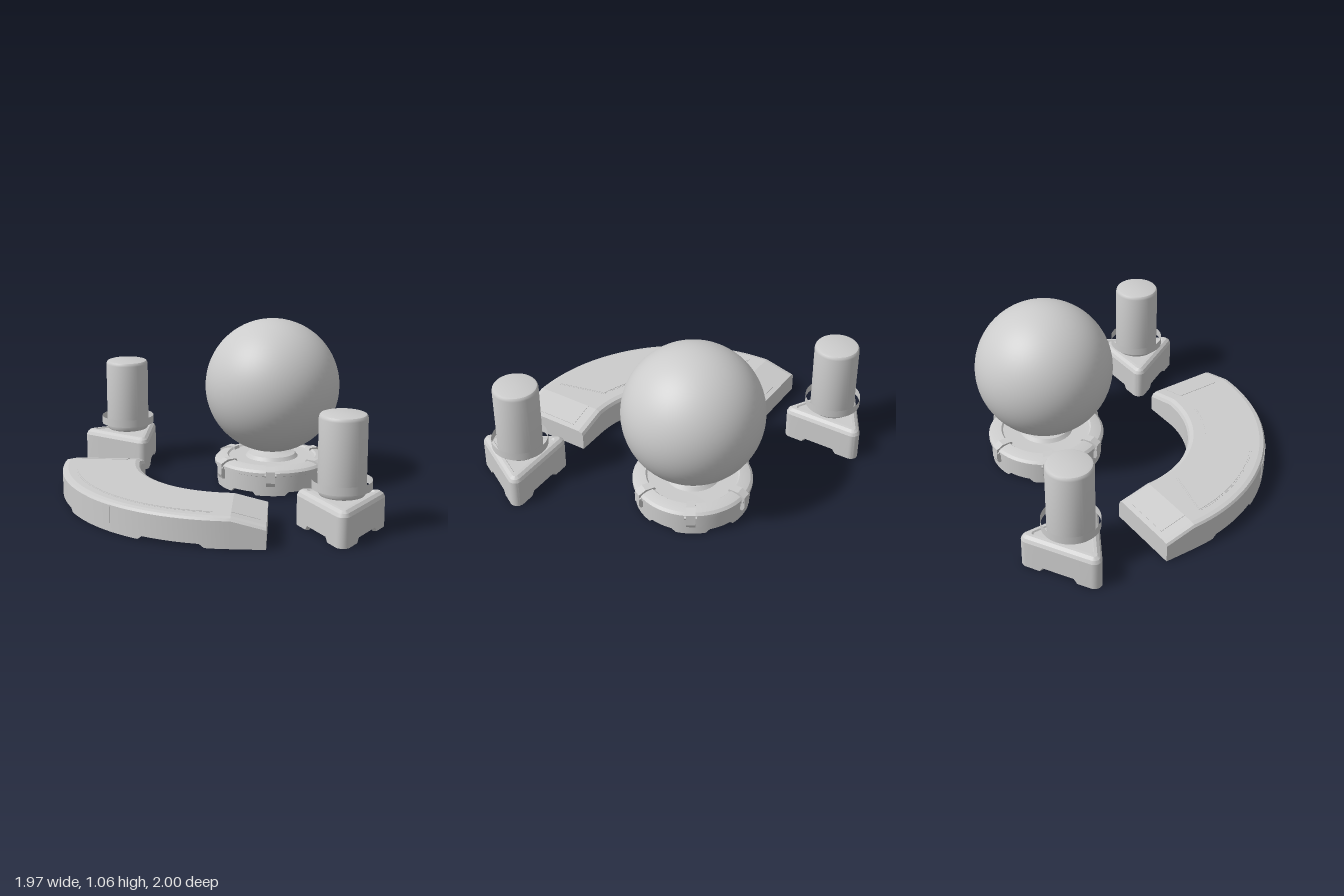
import * as THREE from 'three';
import { toCreasedNormals } from 'three/addons/utils/BufferGeometryUtils.js';

const mat = new THREE.MeshStandardMaterial({ color: 0xcccccc, side: THREE.DoubleSide });

function mesh(name, geo, parent, x = 0, y = 0, z = 0) {
  const m = new THREE.Mesh(geo, mat);
  m.name = name;
  m.position.set(x, y, z);
  parent.add(m);
  return m;
}

// Skin a list of closed rings; optional fan caps on the first and last ring
function loft(rings, capStart, capEnd, crease = 0.4) {
  const n = rings[0].length, pos = rings.flat(2), idx = [];
  for (let i = 0; i < rings.length - 1; i++)
    for (let j = 0; j < n; j++) {
      const k = (j + 1) % n, a = i * n, b = a + n;
      idx.push(a + j, a + k, b + k, a + j, b + k, b + j);
    }
  const cap = (i, flip) => {
    const c = pos.length / 3;
    pos.push(...[0, 1, 2].map(d => rings[i].reduce((s, p) => s + p[d], 0) / n));
    for (let j = 0; j < n; j++) {
      const p = i * n + j, q = i * n + (j + 1) % n;
      flip ? idx.push(q, p, c) : idx.push(p, q, c);
    }
  };
  if (capStart) cap(0, true);
  if (capEnd) cap(rings.length - 1, false);
  const g = new THREE.BufferGeometry();
  g.setAttribute('position', new THREE.Float32BufferAttribute(pos, 3));
  g.setIndex(idx);
  return toCreasedNormals(g, crease);
}

const lathe = (pts, seg = 48) =>
  toCreasedNormals(new THREE.LatheGeometry(pts.map(p => new THREE.Vector2(...p)), seg), 0.5);

// ---- Curved desk: quarter ring with short straight ends that slope down ----
const CX = 0.12, CZ = -0.115, R_IN = 0.62, END = 0.197, H = 0.18, DROP = 0.05;

// Point at angle t (0 = back end, PI/2 = right end), radius r, run-out s along the straight
const deskPoint = (t, r, y, s = 0) => [
  CX - Math.cos(t) * r + (t > 1 ? s : 0), y, CZ + Math.sin(t) * r - (t > 1 ? 0 : s)];

function deskSection(t, s, solid) {
  const h = H - DROP * s / END, deg = t * 180 / Math.PI, off = Math.abs(deg - 45);
  const b = off > 17 && off < 37 ? 0.022 : 0, c = solid ? 0 : h - 0.025; // foot notch, ceiling
  return [[0, 0], [0, h - 0.03], [0.01, h - 0.01], [0.035, h], [0.45, h], [0.475, h - 0.006],
    [0.485, h - 0.02], [0.485, b], [0.473, b], [0.473, c], [0.012, c], [0.012, 0]]
    .map(([u, y]) => deskPoint(t, R_IN + u, y, s));
}

function makeDesk(root) {
  const desk = new THREE.Group();
  desk.name = 'curvedDesk';
  root.add(desk);
  const Q = Math.PI / 2, N = 60, rings = [];
  rings.push(deskSection(0, END, true), deskSection(0, END - 0.012, true), deskSection(0, END - 0.012));
  for (let i = 0; i <= N; i++) rings.push(deskSection(Q * i / N, 0));
  rings.push(deskSection(Q, END - 0.012), deskSection(Q, END - 0.012, true), deskSection(Q, END, true));
  mesh('deskShell', loft(rings, true, true, 0.2), desk);

  // Inset work surface with slanted ends, and the same outline on the underside
  const worktop = (inset, y0, y1) => {
    const rows = [];
    for (let i = 0; i <= 40; i++) {
      const f = i / 40, r0 = 0.72 + inset, r1 = 1.025 - inset;
      const t0 = (0.232 + inset) + (Q - 2 * (0.232 + inset)) * f;
      const t1 = (0.093 + inset) + (Q - 2 * (0.093 + inset)) * f;
      rows.push([[t0, r0, y0], [t0, r0, y1], [t1, r1, y1], [t1, r1, y0]].map(p => deskPoint(...p)));
    }
    return loft(rows, true, true);
  };
  mesh('worktopTrim', worktop(0, 0.17, 0.1815), desk);
  mesh('worktop', worktop(0.009, 0.175, 0.184), desk);
  mesh('undersidePanel', worktop(0.01, 0.148, 0.158), desk);

  // Hatch on the outer wall
  const hatch = [];
  for (let i = 0; i <= 6; i++) {
    const t = Math.PI / 4 + (i / 6 - 0.5) * 0.2;
    hatch.push([[1.09, 0.05], [1.09, 0.165], [1.108, 0.16], [1.108, 0.05]].map(([r, y]) => deskPoint(t, r, y)));
  }
  mesh('wallHatch', loft(hatch, true, true), desk);

  // Thin plates lying on the two sloped ends
  const tilt = Math.atan(DROP / END), y = H - DROP * 0.42;
  const back = mesh('endPlateBack', new THREE.BoxGeometry(0.29, 0.005, 0.17), desk, CX - 0.86, y, CZ - END * 0.42);
  back.rotation.x = -tilt;
  const right = mesh('endPlateRight', new THREE.BoxGeometry(0.17, 0.005, 0.29), desk, CX + END * 0.42, y, CZ + 0.86);
  right.rotation.z = -tilt;
}

// ---- Round pedestal with clamps, carrying the large sphere ----
function makeSphereStand(root) {
  const stand = new THREE.Group();
  stand.name = 'sphereStand';
  stand.position.set(0.32, 0, -0.32);
  root.add(stand);
  const S = 96;
  const ring = (r, y, notched) => Array.from({ length: S }, (_, j) => {
    const a = j / S * Math.PI * 2, deg = (j * 360 / S) % 60;
    return [Math.sin(a) * r, notched && Math.abs(deg - 30) < 14 ? 0.022 : y, Math.cos(a) * r];
  });
  const profile = [[0.325, 0.12], [0.335, 0, 1], [0.35, 0, 1], [0.352, 0.125], [0.365, 0.13], [0.365, 0.15],
    [0.35, 0.165], [0.32, 0.175], [0.285, 0.18], [0.275, 0.17], [0.2, 0.168], [0.14, 0.168]];
  mesh('pedestal', loft([[0.001, 0.12], ...profile].map(p => ring(...p)), false, true), stand);
  mesh('collar', lathe([[0.17, 0.165], [0.15, 0.19], [0.1, 0.2], [0.07, 0.21]]), stand);
  for (const r of [0.09, 0.18, 0.26])
    mesh('undersideRing', lathe([[r - 0.02, 0.125], [r - 0.02, 0.11], [r, 0.11], [r, 0.125]]), stand);

  // Bent clamps gripping the rim
  const s = new THREE.Shape([[0.26, 0.165], [0.27, 0.187], [0.33, 0.187], [0.376, 0.163], [0.378, 0.09],
    [0.366, 0.065], [0.345, 0.065], [0.345, 0.15]].map(p => new THREE.Vector2(...p)));
  const clampGeo = new THREE.ExtrudeGeometry(s, { depth: 0.055, bevelEnabled: false }).translate(0, 0, -0.0275);
  for (let i = 0; i < 6; i++) {
    const a = i * Math.PI / 3 + Math.PI / 2;
    mesh('clamp', clampGeo, stand).rotation.y = a;
    const pin = mesh('clampPin', new THREE.CylinderGeometry(0.01, 0.01, 0.075, 10), stand,
      Math.cos(a) * 0.365, 0.135, -Math.sin(a) * 0.365);
    pin.rotation.set(Math.PI / 2, 0, 0);
    pin.rotation.order = 'YXZ';
    pin.rotation.y = a;
  }
  mesh('sphere', new THREE.SphereGeometry(0.426, 64, 40), stand, 0, 0.631, 0);
}

// ---- Cylinder hovering on a rounded triangular foot, tip toward local +z ----
function triRing(inset, y, notchY = y) {
  const r = Math.max(0.045 - inset, 0.018), d = 2 * (0.165 - inset - r), pts = [];
  for (let c = 0; c < 3; c++) {
    const a0 = c * Math.PI * 2 / 3;
    for (let i = 0; i <= 8; i++) {
      const a = a0 + (i / 8 - 0.5) * Math.PI * 2 / 3;
      pts.push([Math.sin(a0) * d + Math.sin(a) * r, y, Math.cos(a0) * d + Math.cos(a) * r]);
    }
    // Side points that shape the foot notch
    const m = a0 + Math.PI / 3, w = 0.165 - inset;
    for (const [k, yy] of [[-0.12, y], [-0.1, notchY], [0.1, notchY], [0.12, y]]) {
      const q = k * (1 - inset * 5);
      pts.push([Math.sin(m) * w + Math.cos(m) * q, yy, Math.cos(m) * w - Math.sin(m) * q]);
    }
  }
  return pts;
}

function makeStool(root, x, z, turn) {
  const stool = new THREE.Group();
  stool.name = 'cylinderStool';
  stool.position.set(x, 0, z);
  stool.rotation.y = turn;
  root.add(stool);
  const rings = [triRing(0.03, 0.14), triRing(0.02, 0, 0.028), triRing(0, 0, 0.028), triRing(0, 0.178),
    triRing(0.01, 0.198), triRing(0.028, 0.212), triRing(0.045, 0.214), triRing(0.05, 0.205)];
  mesh('triangularFoot', loft(rings, true, true), stool);
  mesh('stalk', new THREE.CylinderGeometry(0.03, 0.04, 0.03, 24), stool, 0, 0.215, 0);
  mesh('cylinder', lathe([[0, 0.222], [0.115, 0.222], [0.13, 0.227], [0.137, 0.238], [0.139, 0.26], [0.139, 0.672],
    [0.136, 0.684], [0.13, 0.692], [0.118, 0.696], [0, 0.696]]), stool);
  mesh('hoop', new THREE.CylinderGeometry(0.173, 0.173, 0.05, 48, 1, true), stool, 0, 0.29, 0);
}

export function createModel() {
  const root = new THREE.Group();
  root.name = 'furnitureSet';
  makeDesk(root);
  makeSphereStand(root);
  makeStool(root, 0.735, 0.665, 0);
  makeStool(root, -0.67, -0.755, -Math.PI / 2);
  return root;
}
